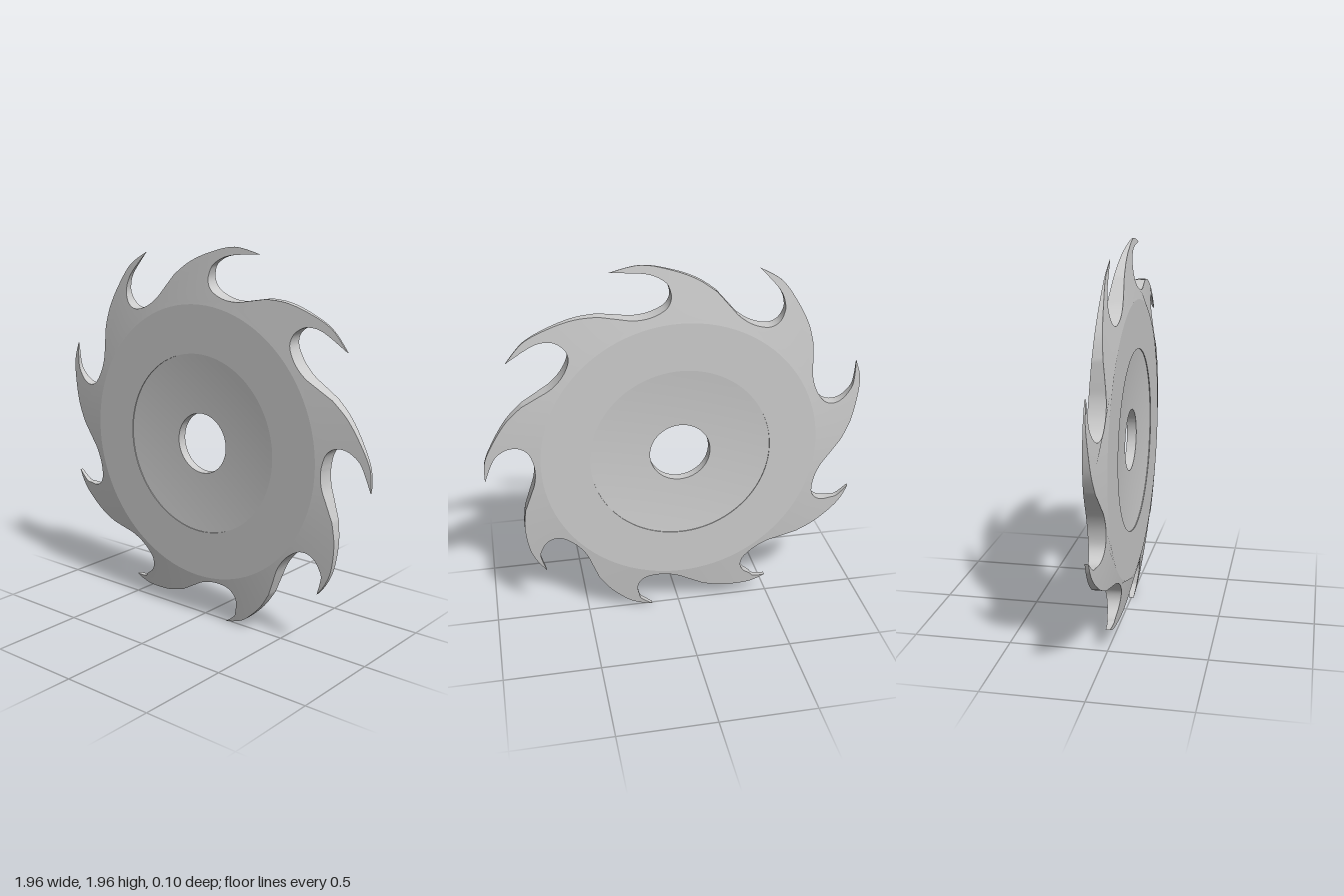
import * as THREE from 'three';
import { toCreasedNormals } from 'three/addons/utils/BufferGeometryUtils.js';

const HALF = 0.05;        // half thickness of the plate
const FLAT_R = 0.72;      // where the flat plate turns into the bevel
const EDGE_R = 1.045;     // where the bevel thins to nothing
const RECESS_R = 0.47;
const BORE_R = 0.158;
const SEGMENTS = 96;

// Each tooth: how far its tip hooks forward (degrees) and the tip radius
const TIPS = [
  [16.2, 1.027], [13.8, 1.018], [11.6, 1.014], [8.5, 0.987], [6.8, 0.978],
  [5.5, 0.98], [6.9, 0.985], [10.5, 1.01], [13.8, 1.022],
];

// The teeth are set out about a point slightly off the bore's centre
function polar(degrees, r) {
  const a = THREE.MathUtils.degToRad(degrees);
  return new THREE.Vector2(-0.007 + r * Math.cos(a), 0.015 + r * Math.sin(a));
}

// Clockwise outline: curved back of a tooth up to its tip, then the round gullet
function bladeOutline() {
  const { lerp } = THREE.MathUtils;
  const outline = [];
  TIPS.forEach(([hook, tipR], i) => {
    const base = 86.2 - 40 * i;
    const curve = (pts) => new THREE.SplineCurve(pts.map(([a, r]) => polar(base + a, r)));
    const tip = [-hook, tipR];
    const back = curve([
      [15.5, 0.862], [9, 0.913], [1.5, 0.961],
      [-0.45 * hook, lerp(0.96, tipR, 0.8)], tip,
    ]);
    const gullet = curve([
      tip, [-0.4 * hook, lerp(0.918, tipR, 0.45)], [-1.5, 0.916], [0, 0.87], [0, 0.822],
      [-2.3, 0.78], [-8, 0.758], [-14, 0.769], [-19, 0.806], [-24.5, 0.862],
    ]);
    outline.push(...back.getPoints(20).slice(0, -1), ...gullet.getPoints(45).slice(0, -1));
  });
  return outline;
}

function bevelZ(x, y) {
  const t = (EDGE_R - Math.hypot(x, y)) / (EDGE_R - FLAT_R);
  return HALF * THREE.MathUtils.clamp(t, 0.02, 1);
}

// One bevelled face of the toothed ring; side is +1 for front, -1 for back
function bevelFace(outline, side) {
  const shape = new THREE.Shape(outline);
  const ring = [];
  for (let i = 0; i < SEGMENTS; i++) {
    const a = (i / SEGMENTS) * Math.PI * 2;
    ring.push(new THREE.Vector2(FLAT_R * Math.cos(a), FLAT_R * Math.sin(a)));
  }
  shape.holes.push(new THREE.Path(ring));
  const geo = new THREE.ShapeGeometry(shape);
  const pos = geo.attributes.position;
  const slope = HALF / (EDGE_R - FLAT_R);
  const n = new THREE.Vector3();
  for (let i = 0; i < pos.count; i++) {
    const x = pos.getX(i), y = pos.getY(i), r = Math.hypot(x, y);
    pos.setZ(i, side * bevelZ(x, y));
    n.set((slope * x) / r, (slope * y) / r, side).normalize();
    geo.attributes.normal.setXYZ(i, n.x, n.y, n.z);
  }
  if (side < 0) geo.index.array.reverse();
  return geo;
}

// Cut wall that follows the outline between the two bevels
function cutWall(outline) {
  const verts = [], index = [], count = outline.length;
  outline.forEach(({ x, y }, i) => {
    const z = bevelZ(x, y), a = 2 * i, b = 2 * ((i + 1) % count);
    verts.push(x, y, z, x, y, -z);
    index.push(a, b, a + 1, b, b + 1, a + 1);
  });
  const geo = new THREE.BufferGeometry();
  geo.setAttribute('position', new THREE.Float32BufferAttribute(verts, 3));
  geo.setIndex(index);
  return toCreasedNormals(geo, 0.6);
}

// Flat plate with a shallow dish on both sides and the bore through it
function plate() {
  const half = [[FLAT_R, HALF], [RECESS_R, HALF]];
  for (let i = 0; i <= 10; i++) {
    const r = THREE.MathUtils.lerp(RECESS_R, BORE_R, i / 10);
    half.push([r, 0.022 + 0.024 * (r / RECESS_R) ** 2]);
  }
  const mirrored = half.map(([r, z]) => [r, -z]).reverse();
  const profile = [...half, ...mirrored].map(([r, z]) => new THREE.Vector2(r, z));
  const geo = new THREE.LatheGeometry(profile, SEGMENTS);
  geo.rotateX(Math.PI / 2);
  return toCreasedNormals(geo, 0.4);
}

export function createModel() {
  const group = new THREE.Group();
  group.name = 'sawBlade';
  const material = new THREE.MeshStandardMaterial({ color: 0xcccccc });
  const add = (name, geometry) => {
    const mesh = new THREE.Mesh(geometry, material);
    mesh.name = name;
    mesh.position.set(-0.003, 0.96, 0);
    group.add(mesh);
  };
  const outline = bladeOutline();
  add('dishedPlate', plate());
  add('frontBevel', bevelFace(outline, 1));
  add('backBevel', bevelFace(outline, -1));
  add('toothEdge', cutWall(outline));
  return group;
}
